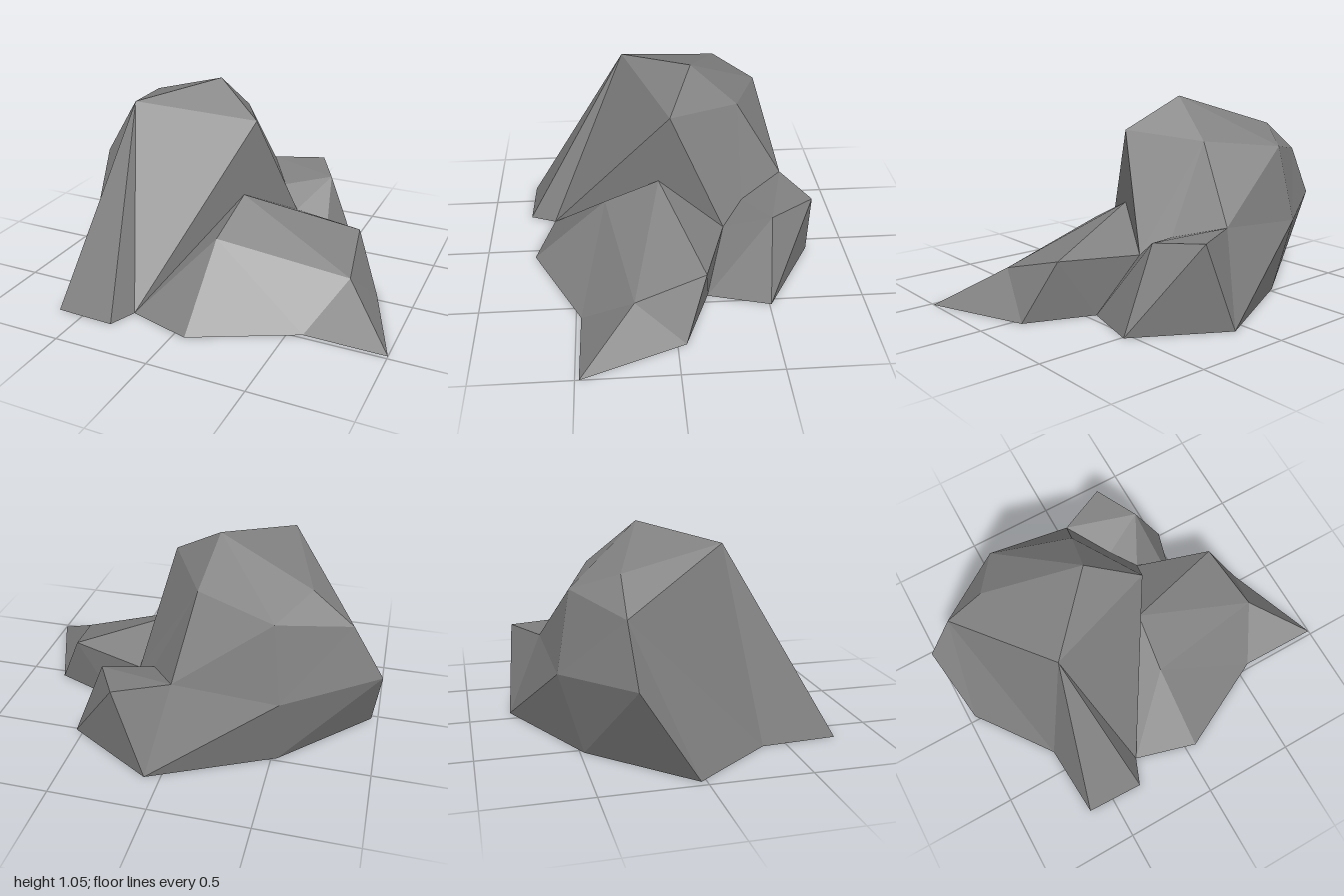
import * as THREE from 'three';

// Corner points of the boulder, grouped by level
const P = {
  // ground outline, in order round the rock
  g1: [1, 0, 0.48], g2: [0.575, 0, 0.475], g3: [0.06, 0, 0.735], g4: [-0.275, 0, 0.64],
  g5: [-0.33, 0, 0.78], g6: [-0.64, 0, 0.77], g7: [-0.665, 0, 0.38], g8: [-0.9, 0, 0.06],
  g9: [-0.965, 0, -0.025], g10: [-0.53, 0, -0.48], g11: [0.08, 0, -0.785],
  g12: [0.54, 0, -0.51], g13: [0.45, 0, -0.185], g14: [0.8, 0, -0.045],
  // crag
  peak: [-0.145, 1.055, -0.135], brow: [-0.47, 0.98, 0.215], neck: [0.115, 0.885, -0.01],
  nape: [-0.09, 0.847, -0.38], crest: [-0.635, 0.89, -0.315], flank: [-0.84, 0.73, -0.33],
  rear: [-0.49, 0.8, -0.53], bulge: [-1, 0.455, -0.315], rump: [-0.54, 0.41, -0.6],
  // back ledge
  ledgeIn: [-0.02, 0.457, -0.622], ledgeBack: [0.245, 0.45, -0.745], ledgeOut: [0.37, 0.43, -0.517],
  hollow: [0.135, 0.39, -0.393], notch: [0.25, 0.297, -0.283],
  // front shoulder
  ridge: [0.07, 0.486, 0.047], knee: [0.045, 0.35, 0.336], tip: [0.72, 0.21, 0.205], lip: [0.655, 0.31, -0.153],
};
const ground = Array.from({ length: 14 }, (_, i) => 'g' + (i + 1));

export function createModel() {
  const model = new THREE.Group();
  model.name = 'boulder';
  const stone = new THREE.MeshStandardMaterial({ color: 0x808080, flatShading: true });
  stone.name = 'grey stone';

  function addFacets(name, triangles) {
    const geometry = new THREE.BufferGeometry();
    const coords = triangles.flat().flatMap((key) => P[key]);
    geometry.setAttribute('position', new THREE.Float32BufferAttribute(coords, 3));
    geometry.computeVertexNormals();
    const mesh = new THREE.Mesh(geometry, stone);
    mesh.name = name;
    model.add(mesh);
  }

  // Each fan is a hub followed by the rim points round it, counter-clockwise from outside
  function addFans(name, fans) {
    const triangles = [];
    for (const fan of fans) {
      const [hub, ...rim] = fan.split(' ');
      for (let i = 0; i + 1 < rim.length; i++) triangles.push([hub, rim[i], rim[i + 1]]);
    }
    addFacets(name, triangles);
  }

  addFans('crag', [
    'brow g7 g6 g5 g4 neck peak crest flank g7',
    'flank crest rear rump bulge g9 g8 g7',
    'rear crest peak nape ledgeIn rump',
    'nape peak neck notch hollow ledgeIn',
    'g10 g9 bulge rump g11',
  ]);

  addFans('backLedge', [
    'ledgeIn hollow ledgeOut ledgeBack g11 rump',
    'ledgeOut hollow notch g13 g12 ledgeBack',
    'g11 ledgeBack g12',
  ]);

  addFans('frontShoulder', [
    'ridge neck g4 knee tip lip notch neck',
    'knee g4 g3 g2 tip',
    'tip g2 g1 g14 lip',
    'g13 notch lip g14',
  ]);

  // Flat underside, facing down
  const outline = ground.map((key) => new THREE.Vector2(P[key][0], P[key][2]));
  const caps = THREE.ShapeUtils.triangulateShape(outline, []).map((tri) => {
    const [a, b, c] = tri.map((i) => outline[i]);
    const turn = (b.x - a.x) * (c.y - a.y) - (b.y - a.y) * (c.x - a.x);
    return (turn > 0 ? tri : [...tri].reverse()).map((i) => ground[i]);
  });
  addFacets('underside', caps);

  return model;
}
